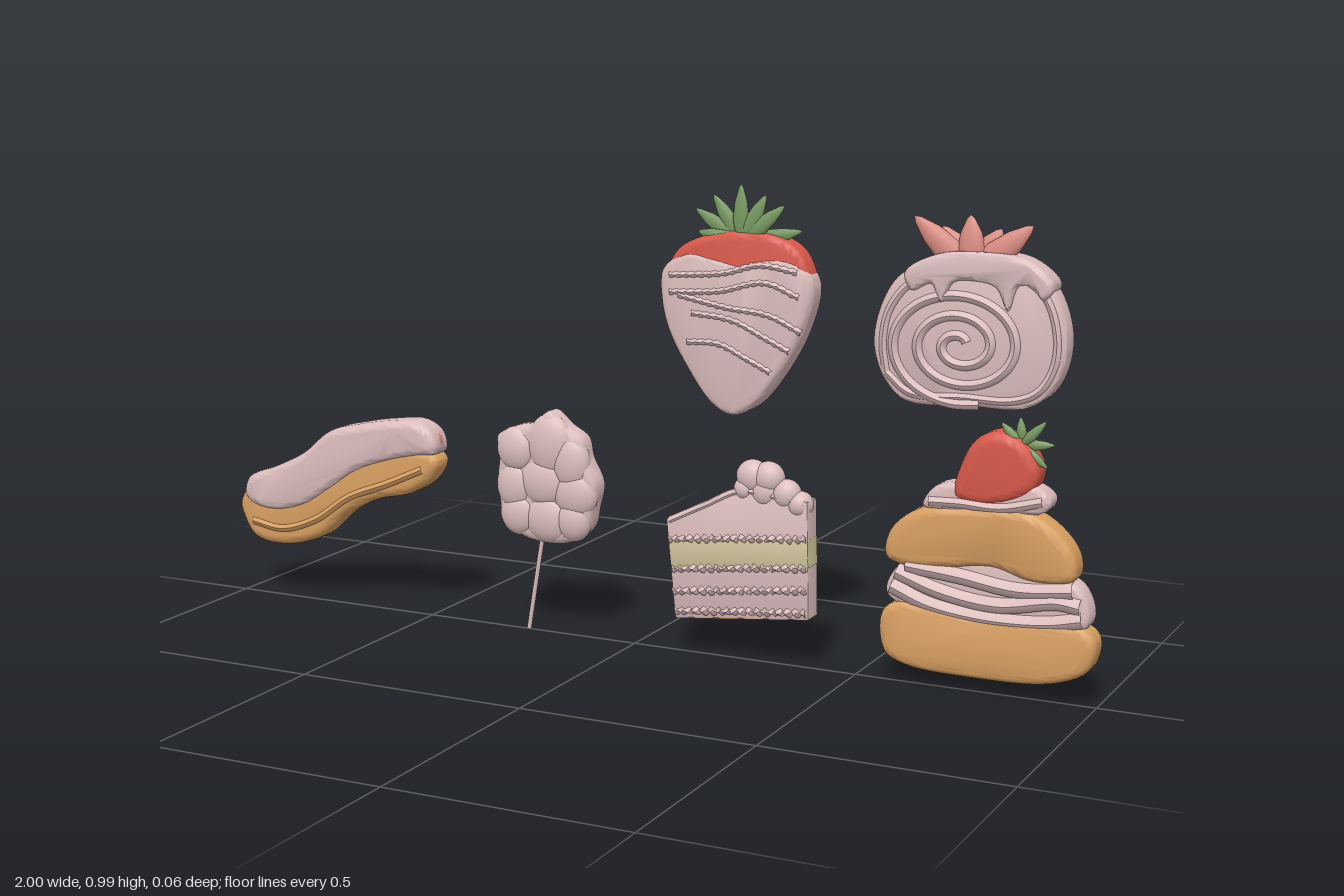
import * as THREE from 'three';
import { toCreasedNormals } from 'three/addons/utils/BufferGeometryUtils.js';

const mat = (name, color) => Object.assign(new THREE.MeshStandardMaterial({ color }), { name });
const pink = mat('pale pink icing', 0xdcbdbd);
const tan = mat('baked pastry', 0xd9a062);
const red = mat('strawberry red', 0xd8584a);
const coral = mat('strawberry slice', 0xdc8f85);
const green = mat('leaf green', 0x789a62);
const yellow = mat('custard sponge', 0xd2c69c);

const BACK = -0.028;
// Outlines and paths are flat x, y lists in hundredths of a unit
const points = (a, z = 0) => Array.from({ length: a.length / 2 },
  (_, i) => new THREE.Vector3(a[2 * i] / 100, a[2 * i + 1] / 100, z));

export function createModel() {
  const model = new THREE.Group();
  let group;
  const begin = (name) => { group = new THREE.Group(); group.name = name; model.add(group); };
  const add = (name, geo, material) => {
    const mesh = new THREE.Mesh(geo, material);
    mesh.name = name;
    group.add(mesh);
    return mesh;
  };
  // Flat-backed relief with a rounded front edge
  const slab = (name, outline, material, front = 0.02, bevel = 0.012, back = BACK, straight = false) => {
    let pts = points(outline);
    if (!straight) pts = new THREE.CatmullRomCurve3(pts, true).getPoints(pts.length * 5).slice(0, -1);
    const rise = Math.min(bevel, 0.02);
    const geo = new THREE.ExtrudeGeometry(new THREE.Shape(pts.map((p) => new THREE.Vector2(p.x, p.y))), {
      depth: front - rise - back, bevelThickness: rise, bevelSize: bevel, bevelOffset: -bevel, bevelSegments: 4,
    });
    const pos = geo.attributes.position;
    for (let i = 0; i < pos.count; i++) pos.setZ(i, Math.max(pos.getZ(i), 0) + back);
    add(name, toCreasedNormals(geo, 0.8), material);
  };
  // Smooth rounded dollop
  const blob = (name, x, y, rx, ry, rz, material, z = 0) => {
    const geo = new THREE.SphereGeometry(1, 20, 14);
    geo.scale(rx / 100, ry / 100, rz);
    geo.translate(x / 100, y / 100, z);
    add(name, geo, material);
  };
  // Piped line; rough > 0 makes it crumbly
  const pipe = (name, path, r, z, material, rough = 0) => {
    const curve = new THREE.CatmullRomCurve3(points(path, z));
    const segs = Math.max(24, Math.round(curve.getLength() * 160));
    const geo = new THREE.TubeGeometry(curve, segs, r, 7);
    const pos = geo.attributes.position;
    for (let i = 0; i < pos.count; i++) {
      const ring = Math.floor(i / 8), side = (i % 8) % 7;
      pos.setY(i, pos.getY(i) + rough * Math.sin(ring * 2.3 + side * 1.7));
      pos.setZ(i, pos.getZ(i) + rough * 0.6 * Math.sin(ring * 1.9 + side));
    }
    geo.computeVertexNormals();
    add(name, geo, material);
  };
  // Pointed leaves or fruit slices fanned from one base
  const fan = (name, bx, by, tips, width, thick, material, z = 0) => {
    const profile = [[0, 0], [0.6, 0.12], [1, 0.4], [0.75, 0.7], [0.3, 0.93], [0, 1]].map((p) => new THREE.Vector2(...p));
    points(tips).forEach((tip, i) => {
      const dx = tip.x - bx / 100, dy = tip.y - by / 100;
      const leaf = add(name, new THREE.LatheGeometry(profile, 10), material);
      leaf.scale.set(width, Math.hypot(dx, dy), thick);
      leaf.position.set(bx / 100, by / 100, z + (i % 2 ? -0.005 : 0.004));
      leaf.rotation.z = Math.atan2(-dx, dy);
    });
  };

  begin('eclair');
  slab('pastry', [-100, 21, -97, 25, -85, 27, -72, 34, -60, 37, -49, 37, -47, 35, -49, 31, -55, 27, -63, 25,
    -71, 21, -78, 15, -88, 12, -96, 13, -99, 17], tan, 0.02, 0.02, -0.0272);
  slab('icing', [-98, 23, -97, 27, -90, 30, -82, 34, -75, 39.5, -68, 41.5, -60, 43, -52, 43.5, -48, 41, -47.5, 37,
    -52, 36, -60, 34, -68, 31, -74, 27, -82, 22, -90, 20, -96, 21], pink, 0.028, 0.018);
  pipe('icingEdge', [-97, 22.5, -90, 21, -82, 23, -74, 28, -68, 32, -60, 35, -52, 37, -48.5, 38], 0.008, 0.014, pink);
  pipe('pastryCrease', [-96, 17, -88, 16, -79, 19, -70, 25, -60, 29, -51, 33], 0.012, 0.012, tan);
  blob('endGlaze', -48.4, 38.8, 1.2, 2.4, 0.015, coral, -0.005);
  blob('endGlaze', -97.2, 25, 1.2, 1.8, 0.015, coral, -0.005);

  begin('cottonCandy');
  slab('floss', [-20, 48.5, -15.8, 45.5, -12, 43, -11, 39, -8.5, 33.5, -9.5, 28, -10.5, 24, -14.5, 20.5, -20.5, 19.5,
    -27, 20.5, -31.5, 23.5, -32.5, 28, -33, 33, -32.5, 38, -33, 42, -28.5, 44.5, -24.5, 45.5], pink, 0.014, 0.02);
  for (const [x, y, rx, ry] of [[-20, 41, 5.5, 6.8], [-15, 37.5, 4.5, 6], [-28, 39.5, 4.8, 5], [-28.5, 31.5, 4.4, 5.5],
    [-14, 31, 5.3, 5.2], [-27.5, 25.5, 4.6, 4.8], [-20.5, 25, 6, 5.3], [-14.5, 25.2, 4.2, 4.6], [-21.5, 33, 6, 5.5]])
    blob('puff', x, y, rx, ry, 0.026, pink);
  const stick = add('stick', new THREE.CylinderGeometry(0.005, 0.005, 0.226, 10), pink);
  stick.position.set(-0.237, 0.112, 0);
  stick.rotation.z = -0.165;

  begin('cakeSlice');
  slab('cake', [8.3, 28.3, 24, 36.5, 39.8, 35, 40.4, 10.7, 10.4, 7.5], pink, 0.021, 0.003, BACK + 0.0006, true);
  slab('spongeBand', [9.1, 24, 40, 27.3, 40.25, 21.5, 9.6, 18], yellow, 0.0225, 0.001, BACK, true);
  slab('base', [10.6, 8.2, 40.2, 11.3, 40.3, 10.5, 10.6, 7.3], tan, 0.019, 0.001, -0.027, true);
  for (const line of [[9, 24.2, 25, 26, 39.8, 27.4], [9.8, 18, 25, 19.8, 39.8, 21.4],
    [10, 13.2, 25, 15, 39.9, 16.8], [10.5, 9, 25, 10.6, 39.9, 12]])
    pipe('creamLayer', line, 0.007, 0.019, pink, 0.004);
  pipe('topEdge', [9, 28, 17, 32, 25, 35.8, 32, 35.5, 39, 34.5], 0.009, 0.014, pink);
  for (const [x, y, r] of [[27, 38.8, 3.6], [30.5, 38.8, 3.5], [25.5, 36.2, 2.6], [34.5, 35.8, 3.2], [37.5, 34, 2.8], [30, 36, 3.5]])
    blob('creamDollop', x, y, r, r, 0.027, pink);

  begin('dippedStrawberry');
  slab('fruit', [7.2, 76, 7.6, 80, 10.5, 85, 17, 88, 25, 89, 33, 88, 37.5, 85, 39.8, 78, 37, 69, 32, 60, 27, 54.5,
    22.7, 52.5, 18.5, 54.5, 13.5, 60.5, 9, 68], red, 0.018, 0.016, -0.0272);
  slab('coating', [6.7, 74.3, 7, 80.5, 12.5, 84.3, 19, 83.5, 25, 82.5, 30, 84, 36, 83.6, 39.4, 81, 40.3, 77.5, 38, 69,
    33, 60, 27.5, 53.5, 22.7, 51.3, 18, 53.5, 12.5, 60.5, 8.3, 68], pink, 0.022, 0.016);
  for (const line of [[9, 79.5, 21, 80.5, 29, 82.5, 37, 81.5], [9, 76, 20, 76.8, 30, 79, 37.5, 76.5],
    [11, 75.5, 22, 73.5, 31, 72.5, 38, 69.5], [14, 72, 23, 71, 30, 68, 35.5, 65.5], [13, 66, 20, 66, 26, 63.5, 31.5, 61]])
    pipe('drizzle', line, 0.0065, 0.02, pink, 0.0015);
  fan('leaf', 24, 86.5, [24, 98.5, 17.5, 96, 29.5, 96.5, 13.5, 93, 33.5, 94.5, 37, 89.5, 14.5, 88.5], 0.018, 0.009, green);

  begin('swissRoll');
  slab('roll', [53.2, 68, 54.3, 75.5, 58, 82, 64, 85, 71.5, 86, 81, 85.5, 88, 82.5, 91.8, 74.5, 91.8, 67, 89, 61,
    84, 57.8, 73, 57.5, 60, 57.5, 55.5, 61.5], pink, 0.019, 0.008);
  const spiral = [];
  for (let i = 0; i <= 44; i++) {
    const a = i / 44 * Math.PI * 5.4 + 0.6, r = 1.5 + i / 44 * 12.5;
    spiral.push(71 + Math.cos(a) * r * 1.08, 69.3 + Math.sin(a) * r * 0.84);
  }
  pipe('spiral', spiral, 0.012, 0.014, pink);
  pipe('rim', [56, 63, 55.2, 69, 56.5, 75.5, 61, 81, 71, 84, 82, 83.5, 87.5, 80, 90, 74, 90, 67, 87, 61.5, 82, 59.3,
    72, 59.2, 61, 59.3, 56, 63], 0.01, 0.013, pink);
  slab('icing', [59.5, 83, 66, 86.8, 75, 87.6, 84, 86.6, 89.5, 82, 87.5, 79, 85, 81.5, 82.5, 81.5, 80.5, 76.5, 78, 81,
    73, 82, 69.5, 81.5, 67, 77.5, 65, 81, 61, 79.5], pink, 0.028, 0.01);
  fan('strawberrySlice', 72.5, 83, [60.5, 93.8, 66, 92, 72, 94.5, 78, 92, 84.5, 93], 0.029, 0.015, coral, -0.004);

  begin('creamPuff');
  slab('lowerBun', [56, 14.5, 56.4, 6.5, 60.5, 4, 75.5, 3, 91.5, 4, 98.5, 7.5, 99.7, 13.5, 97, 16, 76, 16, 60, 17],
    tan, 0.026, 0.018, -0.0272);
  slab('cream', [56.5, 18.5, 59, 24, 68, 27, 86, 27, 96, 24, 98.5, 18, 97, 15.2, 86, 13.5, 73, 13, 60.5, 15.5],
    pink, 0.016, 0.014);
  for (const line of [[58, 20, 66, 17, 78, 15.5, 90, 16, 97, 17.5], [59, 23, 68, 20, 80, 18.5, 92, 20.5, 96.5, 20],
    [61, 24.5, 72, 23.5, 84, 22, 95, 23]])
    pipe('creamFold', line, 0.019, 0.009, pink);
  slab('upperBun', [56.5, 26, 57.5, 31.5, 63, 36, 71.5, 37.5, 86.5, 37.5, 93.5, 32.5, 95.5, 28.5, 95, 25, 86.5, 24,
    78.5, 26, 67.5, 24.5, 59.5, 24.5], tan, 0.026, 0.018, -0.0272);
  slab('topCream', [64, 37, 66.5, 41, 73, 42.5, 86.5, 43, 90, 40.5, 89, 38, 78.5, 36.3, 68, 36], pink, 0.02, 0.012);
  pipe('topCreamFold', [65.5, 38, 72, 38.2, 80, 38, 88.5, 40], 0.012, 0.014, pink);
  slab('strawberry', [70.5, 39.5, 71.5, 45.5, 74.5, 51, 79, 53, 84, 51.5, 87.5, 46.5, 86.5, 42, 81, 39, 75, 38.2],
    red, 0.026, 0.02, -0.0285);
  fan('strawberryLeaf', 83.5, 50.5, [79.5, 54.8, 83, 56, 88.5, 55.7, 90, 51, 89, 46.5], 0.011, 0.008, green, 0.004);

  return model;
}
